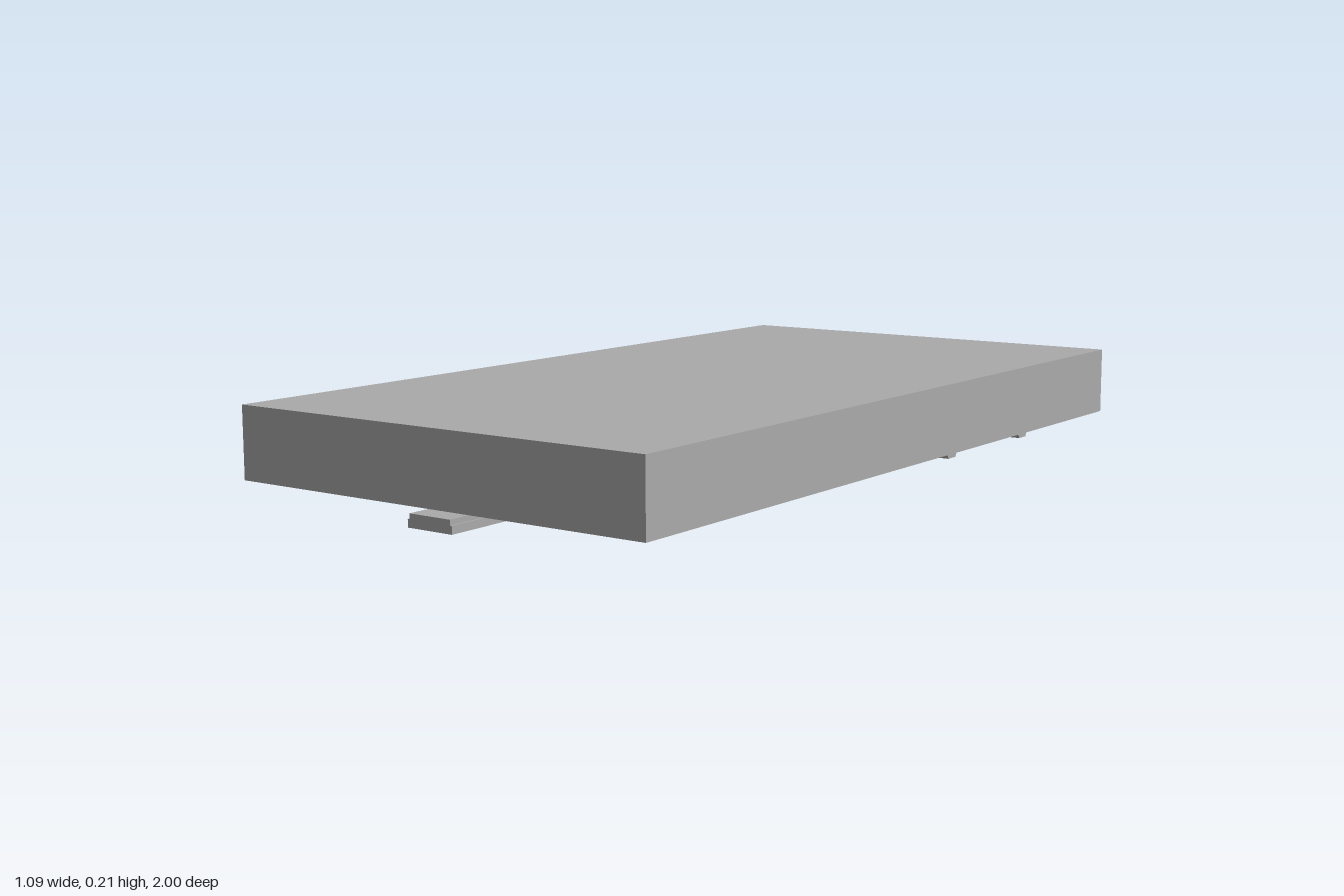
import * as THREE from 'three';

export function createModel() {
  const model = new THREE.Group();
  const grey = new THREE.MeshStandardMaterial({ color: 0xaaaaaa });
  grey.name = 'plain grey';

  const add = (name, geometry, x = 0, y = 0, z = 0) => {
    const mesh = new THREE.Mesh(geometry, grey);
    mesh.name = name;
    mesh.position.set(x, y, z);
    model.add(mesh);
    return mesh;
  };
  const extrude = (points, depth) => new THREE.ExtrudeGeometry(
    new THREE.Shape(points.map(([a, b]) => new THREE.Vector2(a, b))),
    { depth, bevelEnabled: false });
  // Side profile in (z, y), extruded across x and centred
  const acrossX = (points, width) => extrude(points.map(([z, y]) => [-z, y]), width)
    .translate(0, 0, -width / 2).rotateY(Math.PI / 2);

  // Main slab
  add('slab', new THREE.BoxGeometry(1.086, 0.165, 2), 0, 0.1275, 0);

  // Shallow tapered ribs across the underside
  for (const z of [-0.173, -0.537]) {
    add('crossRib', acrossX(
      [[-0.022, 0.046], [-0.017, 0.036], [0.017, 0.036], [0.022, 0.046]], 1.086), 0, 0, z);
  }

  // Long rail with a chamfered rear end, and its cap strip
  add('rail', acrossX([[1, 0], [1, 0.018], [-0.745, 0.018], [-0.725, 0]], 0.12));
  add('railCap', new THREE.BoxGeometry(0.11, 0.012, 1.69), 0, 0.024, 0.155);

  // Forked bracket: one half outline in (x, z), mirrored
  const outer = [[0.24, -0.67], [0.24, -0.84], [0.288, -0.89], [0.288, -1]];
  const inner = [[0.205, -1], [0.205, -0.915], [0.17, -0.875], [0.17, -0.77]];
  const half = [...outer, ...inner];
  const outline = [...half, ...half.map(([x, z]) => [-x, z]).reverse()];
  add('forkBracket', extrude(outline.map(([x, z]) => [x, -z]), 0.028).rotateX(-Math.PI / 2), 0, 0.018, 0);

  return model;
}
